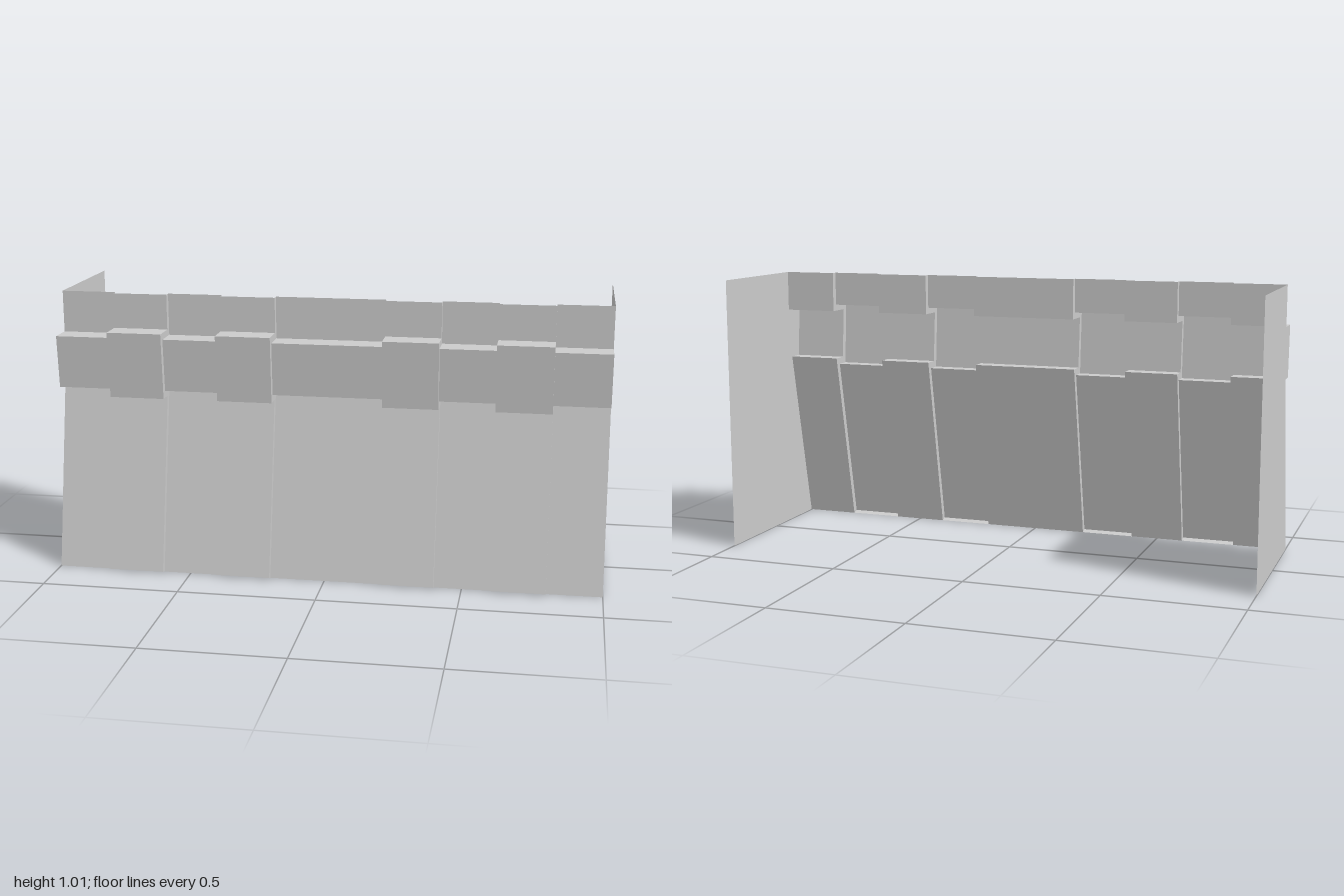
import * as THREE from 'three';

// Wall profiles as [z, y], bottom to top
const RECESS = [[0.311, 0], [0.172, 0.67], [0.23, 0.67], [0.245, 0.863], [0.153, 0.863], [0.153, 1.015]];
const RIB = [[0.333, 0.007], [0.2, 0.645], [0.253, 0.645], [0.27, 0.887], [0.177, 0.887], [0.177, 1.015]];
const BACK = -0.333;

const material = new THREE.MeshStandardMaterial({ color: 0xcccccc, flatShading: true, side: THREE.DoubleSide });

// Surface spanned between profile a at x = xa and profile b at x = xb
function ribbon(name, a, xa, b, xb) {
  const positions = [];
  for (let i = 0; i < a.length - 1; i++) {
    const corners = [
      [xa, a[i][1], a[i][0]],
      [xb, b[i][1], b[i][0]],
      [xb, b[i + 1][1], b[i + 1][0]],
      [xa, a[i + 1][1], a[i + 1][0]],
    ];
    for (const k of [0, 1, 2, 0, 2, 3]) positions.push(...corners[k]);
  }
  const geometry = new THREE.BufferGeometry();
  geometry.setAttribute('position', new THREE.Float32BufferAttribute(positions, 3));
  geometry.computeVertexNormals();
  const mesh = new THREE.Mesh(geometry, material);
  mesh.name = name;
  return mesh;
}

// Flat end panel following the recessed profile; side is +1 (left) or -1 (right)
function endPanel(side) {
  const outline = [...RECESS, [BACK, 1.015], [BACK, 0]];
  const shape = new THREE.Shape(outline.map(([z, y]) => new THREE.Vector2(-side * z, y)));
  const geometry = new THREE.ShapeGeometry(shape).rotateY(side * Math.PI / 2);
  const mesh = new THREE.Mesh(geometry, material);
  mesh.position.x = side;
  mesh.name = side > 0 ? 'leftEndPanel' : 'rightEndPanel';
  return mesh;
}

export function createModel() {
  const model = new THREE.Group();
  model.name = 'ribbedWall';

  // Recessed wall panels
  for (const [x0, x1] of [[-1, -0.8], [-0.6, -0.4], [-0.2, 0.2], [0.4, 0.6], [0.8, 1]]) {
    model.add(ribbon('recessedPanel', RECESS, x0, RECESS, x1));
  }

  // Projecting ribs with step walls and a bottom lip, open at the top
  const ribFace = [RECESS[0], ...RIB];
  for (const x0 of [-0.8, -0.4, 0.2, 0.6]) {
    const x1 = x0 + 0.2;
    const rib = new THREE.Group();
    rib.name = 'rib';
    rib.add(
      ribbon('ribFace', ribFace, x0, ribFace, x1),
      ribbon('ribRightStep', RECESS, x0, RIB, x0),
      ribbon('ribLeftStep', RIB, x1, RECESS, x1),
    );
    model.add(rib);
  }

  // End panels
  model.add(endPanel(1), endPanel(-1));
  return model;
}
